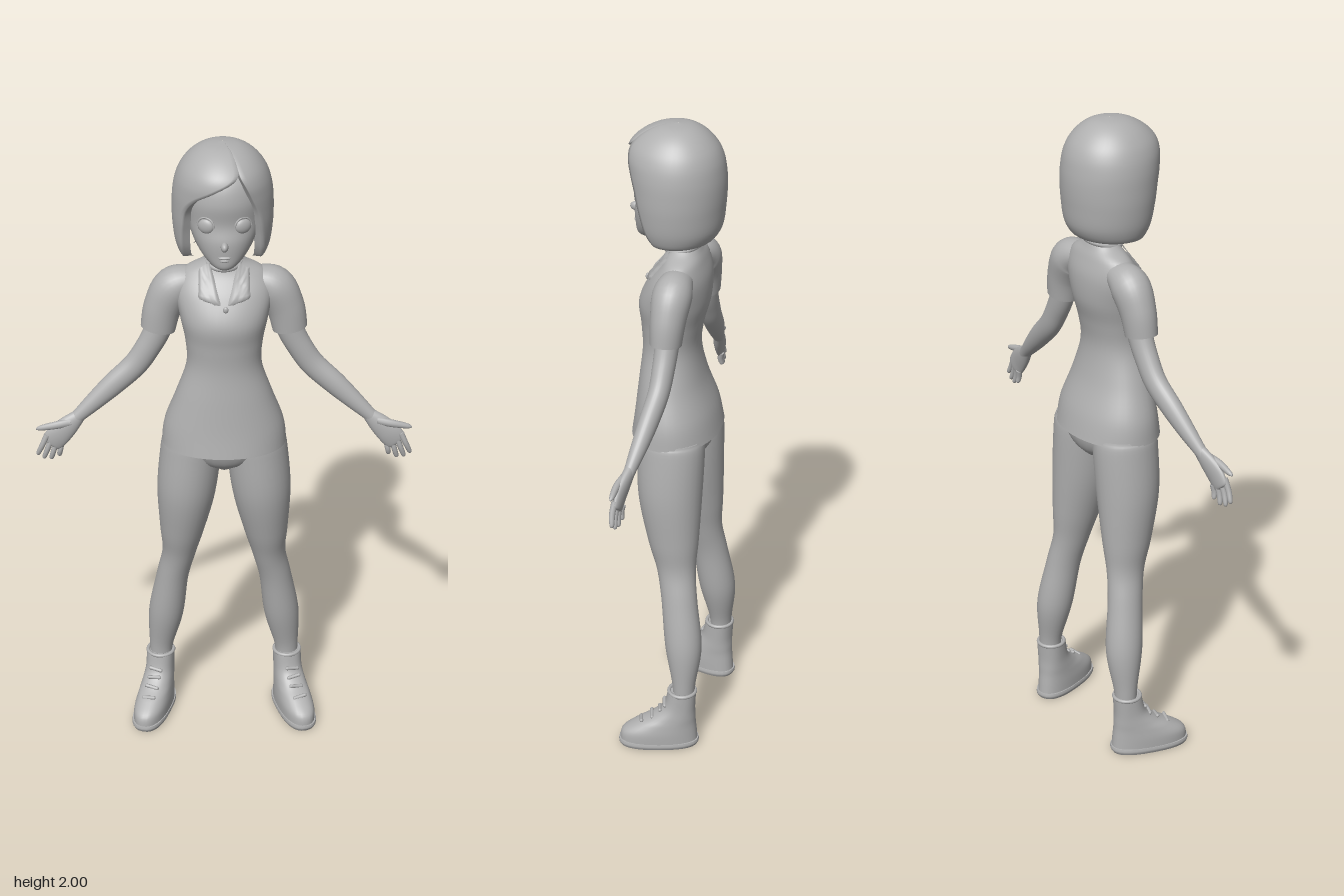
import * as THREE from 'three';

const grey = new THREE.MeshStandardMaterial({ color: 0xb0b0b0 });
grey.name = 'plain grey';

// Smooth interpolation through rows of numbers
function spline(rows, n) {
  const out = [], last = rows.length - 1;
  for (let k = 0; k <= n; k++) {
    const t = (k / n) * last, i = Math.min(Math.floor(t), last - 1), f = t - i;
    const a = rows[Math.max(i - 1, 0)], b = rows[i], c = rows[i + 1], d = rows[Math.min(i + 2, last)];
    out.push(b.map((_, j) => 0.5 * (2 * b[j] + (c[j] - a[j]) * f +
      (2 * a[j] - 5 * b[j] + 4 * c[j] - d[j]) * f * f + (3 * b[j] - a[j] - 3 * c[j] + d[j]) * f * f * f)));
  }
  return out;
}

function buildGeometry(positions, indices) {
  const g = new THREE.BufferGeometry();
  g.setAttribute('position', new THREE.Float32BufferAttribute(positions, 3));
  g.setIndex(indices);
  g.computeVertexNormals();
  return g;
}

// Skin over oval rings [x, y, z, side radius, depth radius]; upright keeps the rings level
function loft(rows, { seg = 28, steps = 6, upright = false, power = 1 } = {}) {
  const rings = spline(rows, (rows.length - 1) * steps), pos = [], idx = [];
  const Z = new THREE.Vector3(0, 0, 1);
  const round = v => Math.sign(v) * Math.abs(v) ** power;
  const addRing = i => {
    const [x, y, z, ra, rz] = rings[i], p = rings[Math.max(i - 1, 0)], q = rings[Math.min(i + 1, rings.length - 1)];
    const T = upright ? new THREE.Vector3(0, 1, 0) : new THREE.Vector3(q[0] - p[0], q[1] - p[1], 0);
    const B = T.cross(Z).normalize(), start = pos.length / 3;
    for (let j = 0; j < seg; j++) {
      const t = (j / seg) * Math.PI * 2, c = ra * round(Math.cos(t));
      pos.push(x + B.x * c, y + B.y * c, z + rz * round(Math.sin(t)));
    }
    return start;
  };
  rings.forEach((_, i) => addRing(i));
  for (let i = 0; i < rings.length - 1; i++) for (let j = 0; j < seg; j++) {
    const a = i * seg + j, b = i * seg + (j + 1) % seg;
    idx.push(a, a + seg, b, b, a + seg, b + seg);
  }
  // Flat end caps with their own vertices
  for (const i of [0, rings.length - 1]) {
    const s = addRing(i), c = pos.length / 3;
    pos.push(...rings[i].slice(0, 3));
    for (let j = 0; j < seg; j++) {
      const a = s + j, b = s + (j + 1) % seg;
      if (i === 0) idx.push(c, a, b); else idx.push(c, b, a);
    }
  }
  return buildGeometry(pos, idx);
}

// Bob haircut: rows [y, width, front, back, right opening angle, left opening angle]
function hairGeometry() {
  const rows = spline([
    [1.69, 0.07, 0.05, 0.07, -80, 78], [1.652, 0.112, 0.09, 0.1, -74, 72], [1.69, 0.135, 0.118, 0.13, -62, 59],
    [1.76, 0.145, 0.132, 0.14, -55, 50], [1.82, 0.146, 0.14, 0.143, -49, 44], [1.865, 0.143, 0.146, 0.14, -34, 37],
    [1.905, 0.134, 0.149, 0.132, -8, 31], [1.94, 0.117, 0.136, 0.115, 20, 25], [1.972, 0.088, 0.1, 0.085, 23, 24],
    [1.993, 0.05, 0.055, 0.048, 23, 24], [2, 0.001, 0.001, 0.001, 23, 24]], 60);
  const cols = 52, pos = [], idx = [];
  for (const [y, w, f, b, right, left] of rows) for (let j = 0; j <= cols; j++) {
    const u = THREE.MathUtils.clamp((j - 2) / (cols - 4), 0, 1);
    const phi = THREE.MathUtils.degToRad(left + (360 + right - left) * u);
    const edge = Math.min(j, cols - j), k = edge === 0 ? 0.78 : edge === 1 ? 0.94 : 1;
    const c = Math.cos(phi);
    pos.push(-0.004 + w * k * Math.sin(phi), y, (c > 0 ? f : b) * k * c);
  }
  for (let i = 0; i < rows.length - 1; i++) for (let j = 0; j < cols; j++) {
    const a = i * (cols + 1) + j, up = a + cols + 1;
    idx.push(a, a + 1, up, a + 1, up + 1, up);
  }
  return buildGeometry(pos, idx);
}

const torsoRows = [
  [0, 1.028, -0.003, 0.188, 0.132], [0, 1.1, 0, 0.179, 0.119], [0, 1.2, 0.012, 0.144, 0.097],
  [0, 1.3, 0.016, 0.112, 0.084], [0, 1.38, 0.013, 0.115, 0.091], [0, 1.455, 0.006, 0.13, 0.103],
  [0, 1.53, -0.012, 0.142, 0.087], [0, 1.585, -0.025, 0.122, 0.06], [0, 1.615, -0.025, 0.07, 0.047],
  [0, 1.632, -0.022, 0.048, 0.042]];
const torsoRings = spline(torsoRows, 90);

// Depth of the shirt front at a given point
function shirtFront(x, y) {
  const r = torsoRings.reduce((p, q) => Math.abs(q[1] - y) < Math.abs(p[1] - y) ? q : p);
  return r[2] + r[4] * Math.sqrt(Math.max(0, 1 - (x / r[3]) ** 2));
}

// Collar flap laid on the shirt front
function lapelGeometry(s) {
  const n = 10, pos = [], idx = [];
  const [A, B, C, D] = [[0.04, 1.626], [0.075, 1.604], [0.078, 1.53], [0.008, 1.515]];
  for (let i = 0; i <= n; i++) for (let j = 0; j <= n; j++) {
    const u = j / n, v = i / n;
    const [x, y] = [0, 1].map(k => (A[k] * (1 - u) + B[k] * u) * (1 - v) + (D[k] * (1 - u) + C[k] * u) * v);
    const rim = i === n || j === 0 || j === n;
    pos.push(s * x, y, shirtFront(x, y) + (rim ? -0.002 : 0.008));
  }
  for (let i = 0; i < n; i++) for (let j = 0; j < n; j++) {
    const a = i * (n + 1) + j, b = a + 1, c = a + n + 1, d = c + 1;
    if (s > 0) idx.push(a, c, b, b, c, d); else idx.push(a, b, c, b, d, c);
  }
  return buildGeometry(pos, idx);
}

export function createModel() {
  const model = new THREE.Group();
  model.name = 'standingWoman';
  const add = (name, geometry, parent = model) => {
    const m = new THREE.Mesh(geometry, grey);
    m.name = name;
    parent.add(m);
    return m;
  };
  const ball = (name, x, y, z, rx, ry, rz, parent) => {
    const m = add(name, new THREE.SphereGeometry(1, 20, 14), parent);
    m.position.set(x, y, z);
    m.scale.set(rx, ry, rz);
    return m;
  };

  // Head and hair
  add('head', loft([
    [0, 1.642, 0.083, 0.012, 0.016], [0, 1.656, 0.076, 0.038, 0.044], [0, 1.69, 0.056, 0.069, 0.068],
    [0, 1.735, 0.035, 0.093, 0.09], [0, 1.785, 0.025, 0.106, 0.091], [0, 1.85, 0.015, 0.112, 0.107],
    [0, 1.91, 0.005, 0.095, 0.1], [0, 1.955, 0, 0.05, 0.055]], { upright: true, seg: 36 }));
  add('hair', hairGeometry());
  ball('nose', 0, 1.728, 0.126, 0.011, 0.014, 0.018);
  ball('upperLip', 0, 1.692, 0.122, 0.019, 0.005, 0.007);
  ball('lowerLip', 0, 1.682, 0.119, 0.015, 0.006, 0.007);
  add('neck', loft([[0, 1.57, -0.025, 0.05, 0.045], [0, 1.63, -0.014, 0.041, 0.039], [0, 1.71, 0.008, 0.045, 0.045]],
    { upright: true }));

  // Shirt, pelvis and collar
  add('shirt', loft(torsoRows, { upright: true, seg: 40, power: 0.95 }));
  add('pelvis', loft([[0, 0.945, -0.012, 0.03, 0.06], [0, 0.975, -0.012, 0.12, 0.09], [0, 1.02, -0.01, 0.18, 0.106],
    [0, 1.06, -0.005, 0.175, 0.105]], { upright: true }));
  const collar = add('collarBand', new THREE.TorusGeometry(0.05, 0.008, 8, 32));
  collar.rotation.x = Math.PI / 2 + 0.25;
  collar.position.set(0, 1.622, -0.02);
  ball('collarButton', 0.004, 1.51, shirtFront(0, 1.51) + 0.004, 0.008, 0.01, 0.006);

  for (const s of [1, -1]) {
    const side = new THREE.Group();
    side.name = s > 0 ? 'leftSide' : 'rightSide';
    model.add(side);
    const limb = (name, rows, options) => add(name, loft(rows.map(([x, ...r]) => [s * x, ...r]), options), side);

    // Eye and lid
    const eye = ball('eye', s * 0.053, 1.783, 0.101, 0.025, 0.023, 0.012, side);
    eye.rotation.y = s * 0.45;
    const lid = add('eyelid', new THREE.TorusGeometry(0.026, 0.003, 6, 20, Math.PI), side);
    lid.position.set(s * 0.053, 1.784, 0.105);
    lid.rotation.y = s * 0.45;
    add('collarLapel', lapelGeometry(s), side);

    // Sleeve and arm
    limb('sleeve', [[0.09, 1.555, -0.03, 0.04, 0.045], [0.145, 1.53, -0.03, 0.06, 0.058],
      [0.18, 1.465, -0.028, 0.057, 0.052], [0.195, 1.395, -0.026, 0.052, 0.046]]);
    limb('arm', [[0.165, 1.48, -0.03, 0.04, 0.038], [0.195, 1.39, -0.029, 0.04, 0.035], [0.225, 1.33, -0.028, 0.038, 0.033],
      [0.265, 1.27, -0.026, 0.037, 0.031], [0.33, 1.21, -0.017, 0.035, 0.029], [0.39, 1.155, -0.007, 0.028, 0.024],
      [0.437, 1.112, 0.002, 0.021, 0.018], [0.455, 1.094, 0.006, 0.021, 0.016]]);

    // Hand, fingers and thumb
    limb('palm', [[0.432, 1.115, 0.002, 0.019, 0.016], [0.465, 1.085, 0.009, 0.031, 0.017],
      [0.498, 1.053, 0.014, 0.037, 0.015], [0.52, 1.025, 0.015, 0.033, 0.011], [0.525, 1.019, 0.015, 0.022, 0.005]]);
    [[0.5, 0.976], [0.525, 0.966], [0.547, 0.97], [0.565, 0.985]].forEach(([x, y], i) => {
      const k = (i - 1.5) * 0.018, a = 0.513 + 0.76 * k, b = 1.037 + 0.65 * k, z = 0.014 + (i - 1.5) * 0.003;
      limb('finger', [[a, b, z, 0.0095, 0.0095], [(a + x) / 2, (b + y) / 2, z + 0.003, 0.0085, 0.009],
        [a + (x - a) * 0.9, b + (y - b) * 0.9, z, 0.007, 0.007], [x, y, z, 0.002, 0.002]], { seg: 10, steps: 4 });
    });
    limb('thumb', [[0.46, 1.096, 0.014, 0.013, 0.012], [0.505, 1.089, 0.021, 0.012, 0.011],
      [0.552, 1.079, 0.02, 0.008, 0.008], [0.566, 1.075, 0.02, 0.002, 0.002]], { seg: 10, steps: 4 });

    // Leg
    limb('leg', [[0.202, 0.15, -0.083, 0.034, 0.034], [0.201, 0.22, -0.084, 0.038, 0.036],
      [0.184, 0.35, -0.077, 0.055, 0.057], [0.162, 0.5, -0.057, 0.05, 0.056], [0.141, 0.6, -0.04, 0.052, 0.061],
      [0.13, 0.7, -0.027, 0.069, 0.079], [0.115, 0.85, -0.013, 0.09, 0.098], [0.1, 1, -0.012, 0.092, 0.102],
      [0.098, 1.04, -0.01, 0.085, 0.098]]);

    // Laced ankle shoe
    const shoe = new THREE.Group();
    shoe.name = 'shoe';
    shoe.position.set(s * 0.226, 0, -0.01);
    shoe.rotation.y = s * 0.31;
    side.add(shoe);
    add('sole', loft([[0, 0, 0, 0.052, 0.121], [0, 0.01, 0, 0.056, 0.126], [0, 0.02, 0, 0.055, 0.125]],
      { upright: true, seg: 32, power: 0.8 }), shoe);
    add('shoeUpper', loft([[0, 0.015, 0, 0.053, 0.122], [0, 0.05, -0.002, 0.053, 0.117], [0, 0.08, -0.022, 0.05, 0.094],
      [0, 0.105, -0.045, 0.047, 0.07], [0, 0.14, -0.064, 0.044, 0.05], [0, 0.195, -0.073, 0.044, 0.044]],
      { upright: true, seg: 32, power: 0.88 }), shoe);
    const cuff = add('shoeCuff', new THREE.TorusGeometry(0.041, 0.006, 8, 28), shoe);
    cuff.rotation.x = Math.PI / 2;
    cuff.position.set(0, 0.194, -0.073);
    [[0.15, -0.018], [0.128, -0.003], [0.107, 0.022], [0.088, 0.055]].forEach(([y, z], i) => {
      const lace = add('lace', new THREE.CapsuleGeometry(0.006, 0.035, 4, 8), shoe);
      lace.rotation.z = Math.PI / 2 + (i % 2 ? 0.15 : -0.15);
      lace.position.set(0, y, z);
    });
  }
  return model;
}
